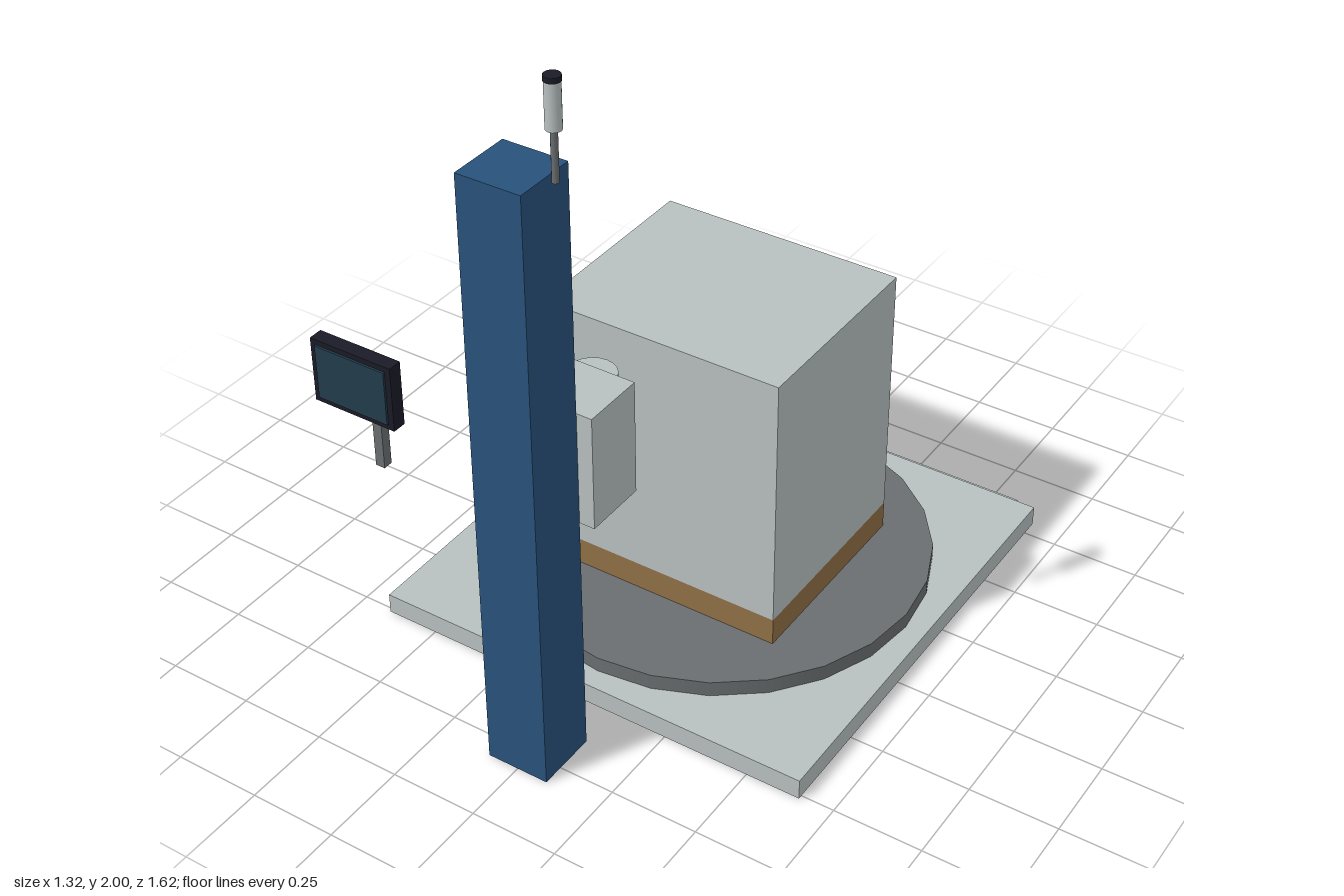
import * as THREE from 'three';

const material = (name, color) => {
  const m = new THREE.MeshStandardMaterial({ color });
  m.name = name;
  return m;
};

export function createModel() {
  const model = new THREE.Group();
  model.name = 'palletWrapper';

  const lightGrey = material('light grey', 0xb8c0c0);
  const darkGrey = material('dark grey', 0x6a6e70);
  const blue = material('column blue', 0x28527c);
  const brown = material('pallet brown', 0x906f46);
  const black = material('near black', 0x1b1b28);
  const glass = material('screen teal', 0x223c4a);

  const add = (name, geometry, mat, x, y, z) => {
    const mesh = new THREE.Mesh(geometry, mat);
    mesh.name = name;
    mesh.position.set(x, y, z);
    model.add(mesh);
    return mesh;
  };
  // Box given by its lower and upper limits on each axis
  const box = (name, mat, [x0, x1], [y0, y1], [z0, z1]) =>
    add(name, new THREE.BoxGeometry(x1 - x0, y1 - y0, z1 - z0), mat,
      (x0 + x1) / 2, (y0 + y1) / 2, (z0 + z1) / 2);
  // Upright cylinder from y0 to y1
  const rod = (name, mat, r, [y0, y1], x, z, sides) =>
    add(name, new THREE.CylinderGeometry(r, r, y1 - y0, sides), mat, x, (y0 + y1) / 2, z);

  // Base plate with a strip along its rear edge
  box('basePlate', lightGrey, [-0.656, 0.656], [0, 0.06], [-0.8, 0.512]);
  box('rearStrip', lightGrey, [-0.597, 0.597], [0.006, 0.054], [-0.812, -0.79]);

  // Turntable carrying the loaded pallet
  const centreZ = -0.144;
  rod('turntable', darkGrey, 0.597, [0.06, 0.105], 0, centreZ, 24);
  box('pallet', brown, [-0.357, 0.357], [0.105, 0.186], [centreZ - 0.298, centreZ + 0.298]);
  box('load', lightGrey, [-0.357, 0.357], [0.186, 0.938], [centreZ - 0.298, centreZ + 0.298]);

  // Column with the film carriage and its roll
  box('column', blue, [-0.09, 0.09], [0, 1.735], [0.635, 0.812]);
  box('carriage', lightGrey, [-0.134, 0.134], [0.72, 1.048], [0.455, 0.635]);
  rod('filmRoll', lightGrey, 0.065, [0.72, 1.018], 0, 0.443, 20);

  // Control panel on its post
  box('panelPost', darkGrey, [-0.551, -0.523], [0.63, 0.895], [0.606, 0.634]);
  box('panelHousing', black, [-0.662, -0.411], [0.84, 1.028], [0.672, 0.712]);
  box('panelScreen', glass, [-0.645, -0.428], [0.857, 1.013], [0.711, 0.718]);

  // Signal light beside the column top
  rod('signalPole', darkGrey, 0.009, [1.735, 1.87], 0.12, 0.724, 12);
  rod('signalBody', lightGrey, 0.02, [1.868, 1.988], 0.12, 0.724, 16);
  rod('signalCap', black, 0.021, [1.986, 2], 0.12, 0.724, 16);

  return model;
}
